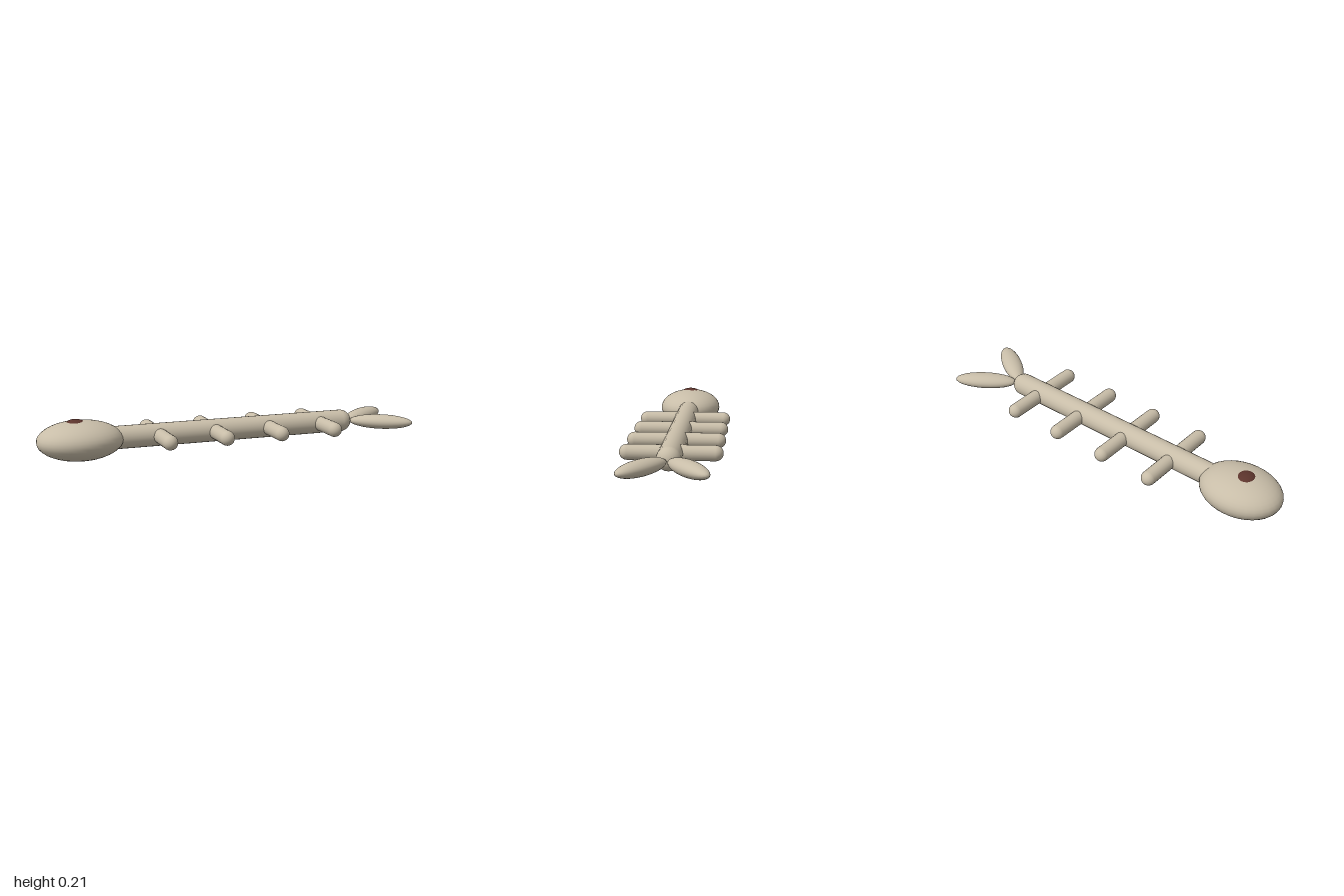
import * as THREE from 'three';

export function createModel() {
  const model = new THREE.Group();
  const bone = new THREE.MeshStandardMaterial({ color: 0xc8bda8 });
  bone.name = 'bone';
  const darkBrown = new THREE.MeshStandardMaterial({ color: 0x5c342c });
  darkBrown.name = 'dark brown';
  const midY = 0.101;

  const add = (name, geometry, material, x, y, z) => {
    const mesh = new THREE.Mesh(geometry, material);
    mesh.name = name;
    mesh.position.set(x, y, z);
    model.add(mesh);
    return mesh;
  };
  const ellipsoid = (rx, ry, rz) => new THREE.SphereGeometry(1, 32, 20).scale(rx, ry, rz);

  // Flattened egg-shaped head with a low eye dome on top
  add('head', ellipsoid(0.22, 0.101, 0.172), bone, -0.78, midY, 0);
  add('eye', ellipsoid(0.049, 0.024, 0.052), darkBrown, -0.802, 0.186, 0);

  // Long round-ended body along x
  const body = add('body', new THREE.CapsuleGeometry(0.059, 1.3, 8, 24), bone, 0.01, midY, 0);
  body.rotation.z = -Math.PI / 2;

  // Four pairs of stubby legs
  const legGeometry = new THREE.CapsuleGeometry(0.0385, 0.17, 8, 20).rotateX(Math.PI / 2);
  for (let i = 0; i < 4; i++) {
    for (const side of [1, -1]) {
      add(side > 0 ? 'frontLeg' : 'backLeg', legGeometry, bone, -0.375 + i * 0.3, midY, side * 0.1265);
    }
  }

  // Forked tail fins
  const finGeometry = ellipsoid(0.17, 0.0385, 0.054);
  for (const side of [1, -1]) {
    const fin = add(side > 0 ? 'frontTailFin' : 'backTailFin', finGeometry, bone, 0.855, midY, side * 0.106);
    fin.rotation.y = -side * 0.585;
  }

  return model;
}
